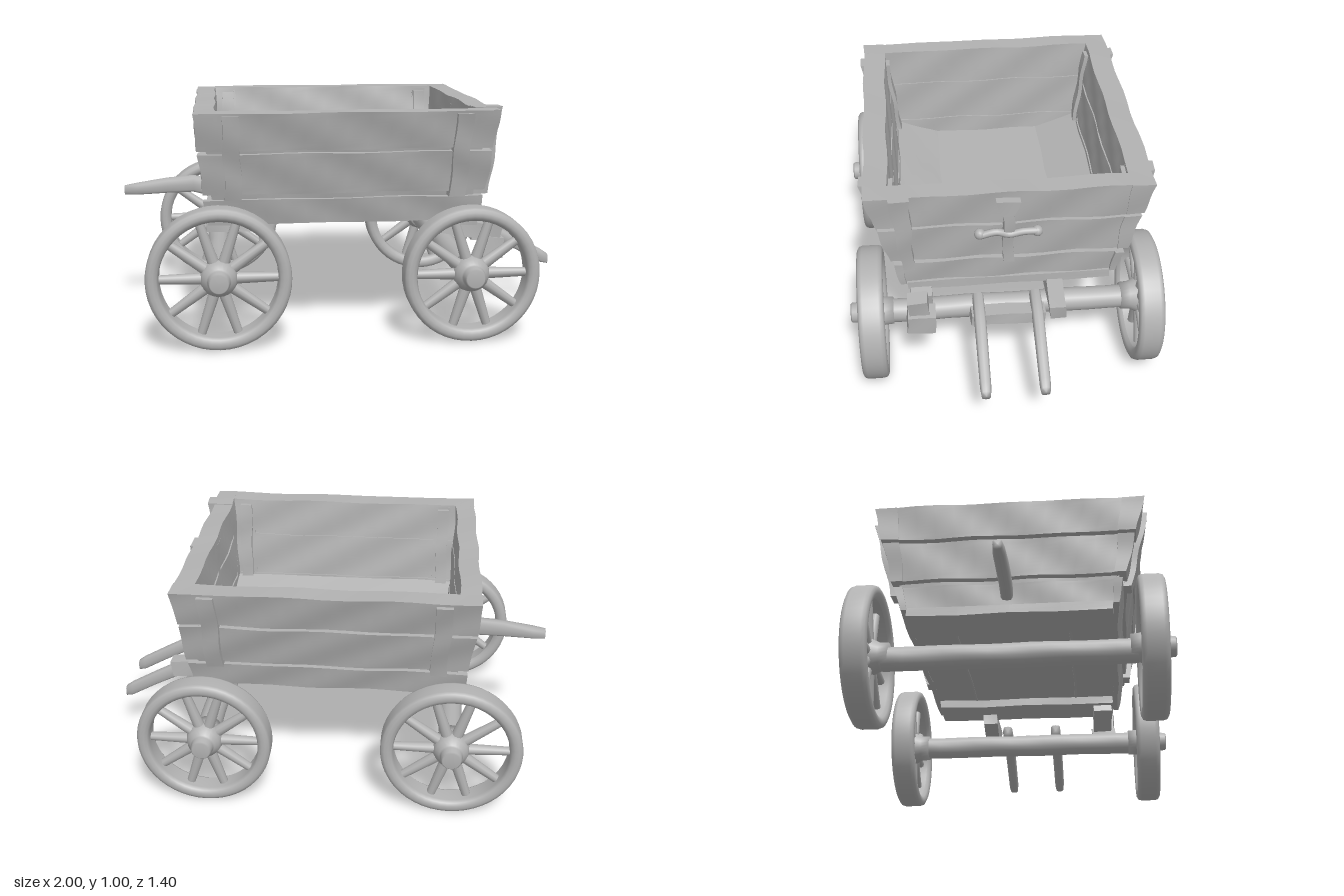
import * as THREE from 'three';

const wood = new THREE.MeshStandardMaterial({ color: 0xb2b2b2 });
wood.name = 'plain grey wood';

// Flared outer faces and nearly upright inner faces of the body at height y
const halfX = (y) => 0.643 - 0.1 * (1 - y);
const halfZ = (y) => 0.594 - 0.24 * (1 - y);
const depthX = (y) => halfX(y) - 0.552 + 0.04 * (1 - y);
const depthZ = (y) => halfZ(y) - 0.497 + 0.11 * (1 - y);

function add(parent, geometry, name) {
  const mesh = new THREE.Mesh(geometry, wood);
  mesh.name = name;
  parent.add(mesh);
  return mesh;
}

// Gentle hewn-wood waviness, depending only on position so seams stay closed
function hew(geometry, amount = 0.004) {
  const p = geometry.attributes.position;
  for (let i = 0; i < p.count; i++) {
    const x = p.getX(i), y = p.getY(i), z = p.getZ(i);
    p.setXYZ(i,
      x + amount * Math.sin(23 * y + 17 * z + 1),
      y + amount * 0.5 * Math.sin(11 * x + 13 * z + 19 * y),
      z + amount * Math.sin(15 * x + 29 * y + 2));
  }
  geometry.computeVertexNormals();
  return geometry;
}

// Board on a wall; along(u, y) places it lengthwise (u in -0.5..0.5), out moves its outer face,
// extra adds to the wall's own depth behind that face
function wallBoard(parent, name, axis, side, y0, y1, along, out = 0, extra = 0) {
  const g = axis === 'z' ? new THREE.BoxGeometry(1, 1, 1, 14, 10, 1) : new THREE.BoxGeometry(1, 1, 1, 1, 10, 14);
  const p = g.attributes.position;
  for (let i = 0; i < p.count; i++) {
    const y = y0 + (y1 - y0) * (p.getY(i) + 0.5);
    const half = axis === 'z' ? halfZ(y) : halfX(y);
    const thick = (axis === 'z' ? depthZ(y) : depthX(y)) + out + extra;
    const mid = side * (half + out - thick / 2);
    if (axis === 'z') p.setXYZ(i, along(p.getX(i), y), y, mid + p.getZ(i) * thick);
    else p.setXYZ(i, mid + p.getX(i) * thick, y, along(p.getZ(i), y));
  }
  return add(parent, hew(g), name);
}

function block(parent, name, size, pos, rotZ = 0, rotX = 0) {
  const g = new THREE.BoxGeometry(...size, 6, 2, 4);
  g.rotateX(rotX).rotateZ(rotZ).translate(...pos);
  return add(parent, hew(g), name);
}

// Beam with a rounded-square section, swept towards +x along rings [x, y, halfHeight, halfWidth]
function shaft(parent, name, z, rings) {
  const n = 12, pos = [], idx = [];
  const soft = (v) => Math.sign(v) * Math.pow(Math.abs(v), 0.6);
  for (const [x, y, h, w] of rings) {
    for (let j = 0; j < n; j++) {
      const a = (j / n) * Math.PI * 2;
      pos.push(x, y + h * soft(Math.sin(a)), z + w * soft(Math.cos(a)));
    }
  }
  for (let i = 0; i < rings.length - 1; i++) {
    for (let j = 0; j < n; j++) {
      const a = i * n + j, b = i * n + (j + 1) % n;
      idx.push(a, a + n, b, b, a + n, b + n);
    }
  }
  const g = new THREE.BufferGeometry();
  g.setAttribute('position', new THREE.Float32BufferAttribute(pos, 3));
  g.setIndex(idx);
  g.computeVertexNormals();
  return add(parent, g, name);
}

// Wheel with a thick rounded rim, ten flared spokes and a domed hub; axis along z, +z outwards
function makeWheel(name, r) {
  const wheel = new THREE.Group();
  wheel.name = name;
  const ri = r - 0.056, w = 0.056;
  const rim = [[ri, -0.036], [ri + 0.008, -0.05], [ri + 0.022, -w], [r - 0.018, -w], [r - 0.005, -0.049], [r, -0.034],
    [r, 0.034], [r - 0.005, 0.049], [r - 0.018, w], [ri + 0.022, w], [ri + 0.008, 0.05], [ri, 0.036], [ri, -0.036]];
  add(wheel, new THREE.LatheGeometry(rim.map((q) => new THREE.Vector2(...q)), 48).rotateX(Math.PI / 2), 'rim');
  const hub = [[0, -0.09], [0.06, -0.09], [0.063, -0.05], [0.078, -0.02], [0.08, 0.01], [0.07, 0.04],
    [0.052, 0.056], [0.046, 0.062], [0.044, 0.094], [0.038, 0.1], [0, 0.1]];
  add(wheel, new THREE.LatheGeometry(hub.map((q) => new THREE.Vector2(...q)), 24).rotateX(Math.PI / 2), 'hub');
  for (let i = 0; i < 10; i++) {
    const g = new THREE.CylinderGeometry(0.019, 0.026, ri - 0.03, 10);
    g.translate(0, (ri + 0.05) / 2, 0).rotateZ((i + 0.5) * Math.PI / 5);
    add(wheel, g, 'spoke');
  }
  return wheel;
}

export function createModel() {
  const cart = new THREE.Group();
  cart.name = 'wooden cart';

  // Flared body: three planks on each wall
  const body = new THREE.Group();
  body.name = 'body';
  body.position.x = -0.02;
  cart.add(body);
  const rows = [[0.503, 0.615, -0.008], [0.642, 0.82, 0], [0.836, 0.996, 0.003]];
  for (const [y0, y1, out] of rows) {
    for (const s of [-1, 1]) {
      wallBoard(body, 'sidePlank', 'z', s, y0, y1, (u, y) => u * 2 * halfX(y), out);
      wallBoard(body, 'endPlank', 'x', s, y0, y1, (u, y) => u * 2 * (halfZ(y) - 0.012), out - 0.006);
    }
  }

  // Liners closing the gaps between planks
  for (const s of [-1, 1]) {
    wallBoard(body, 'sideLiner', 'z', s, 0.58, 0.9, (u, y) => u * 2 * (halfX(y) - 0.04), -0.03, -0.006);
    wallBoard(body, 'endLiner', 'x', s, 0.58, 0.9, (u, y) => u * 2 * (halfZ(y) - 0.04), -0.036, -0.006);
  }

  // Upright battens on both sides, one on the end, and inner corner posts
  for (const s of [-1, 1]) {
    for (const x of [-0.49, 0.492]) {
      wallBoard(body, 'sideBatten', 'z', s, 0.62, 0.985,
        (u, y) => x - Math.sign(x) * (1 - y) * 0.03 + u * 0.07, 0.025);
      wallBoard(body, 'cornerPost', 'z', s, 0.53, 0.975, (u) => x + u * 0.055, -0.01, 0.018);
    }
  }
  wallBoard(body, 'endBatten', 'x', 1, 0.615, 1, (u, y) => 0.455 - 0.06 * (1 - y) + u * (0.085 - 0.1 * (1 - y)), 0.03);

  // Cross-shaped latch on the end wall
  wallBoard(body, 'latchBar', 'x', 1, 0.63, 0.965,
    (u, y) => 0.01 + u * (0.045 + 0.055 * THREE.MathUtils.smoothstep(y, 0.9, 0.95)), 0.032);
  const arm = new THREE.CatmullRomCurve3([[0.13, 0.79], [0.06, 0.805], [0.01, 0.79], [-0.05, 0.8], [-0.11, 0.8]]
    .map(([z, y]) => new THREE.Vector3(halfX(0.8) + 0.028, y, z)));
  add(body, new THREE.TubeGeometry(arm, 20, 0.016, 8), 'latchArm');
  for (const z of [-0.11, 0.13]) {
    add(body, new THREE.SphereGeometry(0.024, 12, 8).translate(halfX(0.8) + 0.022, 0.795, z), 'latchKnob');
  }

  // Floor: flat slab, boards rising towards both sides, and end battens below
  block(body, 'floor', [1.14, 0.03, 0.9], [0, 0.52, 0]);
  for (const s of [-1, 1]) {
    block(body, 'slopingFloorBoard', [1.1, 0.03, 0.225], [0, 0.555, s * 0.35], 0, -s * 0.36);
  }
  block(body, 'floorBatten', [0.2, 0.04, 0.88], [-0.5, 0.487, 0]);
  block(body, 'floorBatten', [0.18, 0.04, 0.88], [0.5, 0.487, 0]);

  // Wheels and axles
  for (const [x, r, label] of [[-0.568, 0.306, 'rear'], [0.51, 0.295, 'front']]) {
    const axle = new THREE.CylinderGeometry(0.052, 0.052, 1.08, 16, 12).rotateX(Math.PI / 2).translate(x, 0.293, 0);
    add(cart, hew(axle, 0.002), label + 'Axle');
    for (const s of [-1, 1]) {
      const wheel = makeWheel(label + 'Wheel', r);
      wheel.position.set(x, r, s * 0.6);
      if (s < 0) wheel.rotation.y = Math.PI;
      cart.add(wheel);
    }
  }

  // Push handle
  shaft(cart, 'handle', -0.008, [[-1, 0.572, 0, 0], [-0.998, 0.573, 0.022, 0.02], [-0.94, 0.578, 0.028, 0.026],
    [-0.8, 0.592, 0.036, 0.028], [-0.68, 0.598, 0.04, 0.028], [-0.56, 0.57, 0.044, 0.028], [-0.56, 0.57, 0, 0]]);

  // Pulling shafts with their crossbar
  for (const z of [0.138, -0.113]) {
    shaft(cart, 'pullShaft', z, [[0.58, 0.4, 0, 0], [0.58, 0.4, 0.03, 0.025], [0.7, 0.375, 0.035, 0.026],
      [0.84, 0.305, 0.032, 0.025], [0.96, 0.24, 0.032, 0.024], [0.992, 0.226, 0.024, 0.02], [0.998, 0.224, 0, 0]]);
  }
  block(cart, 'crossbar', [0.07, 0.055, 0.32], [0.65, 0.36, 0.015]);

  // Brackets hanging under the body
  block(cart, 'frontBracket', [0.09, 0.09, 0.12], [0.65, 0.365, 0.39], -0.1);
  block(cart, 'frontBracketTop', [0.07, 0.1, 0.085], [0.65, 0.44, 0.4], -0.1);
  block(cart, 'frontBracketArm', [0.2, 0.07, 0.09], [0.52, 0.45, 0.385], -0.2);
  block(cart, 'backBracket', [0.24, 0.07, 0.07], [0.61, 0.435, -0.195], -0.12);
  return cart;
}
